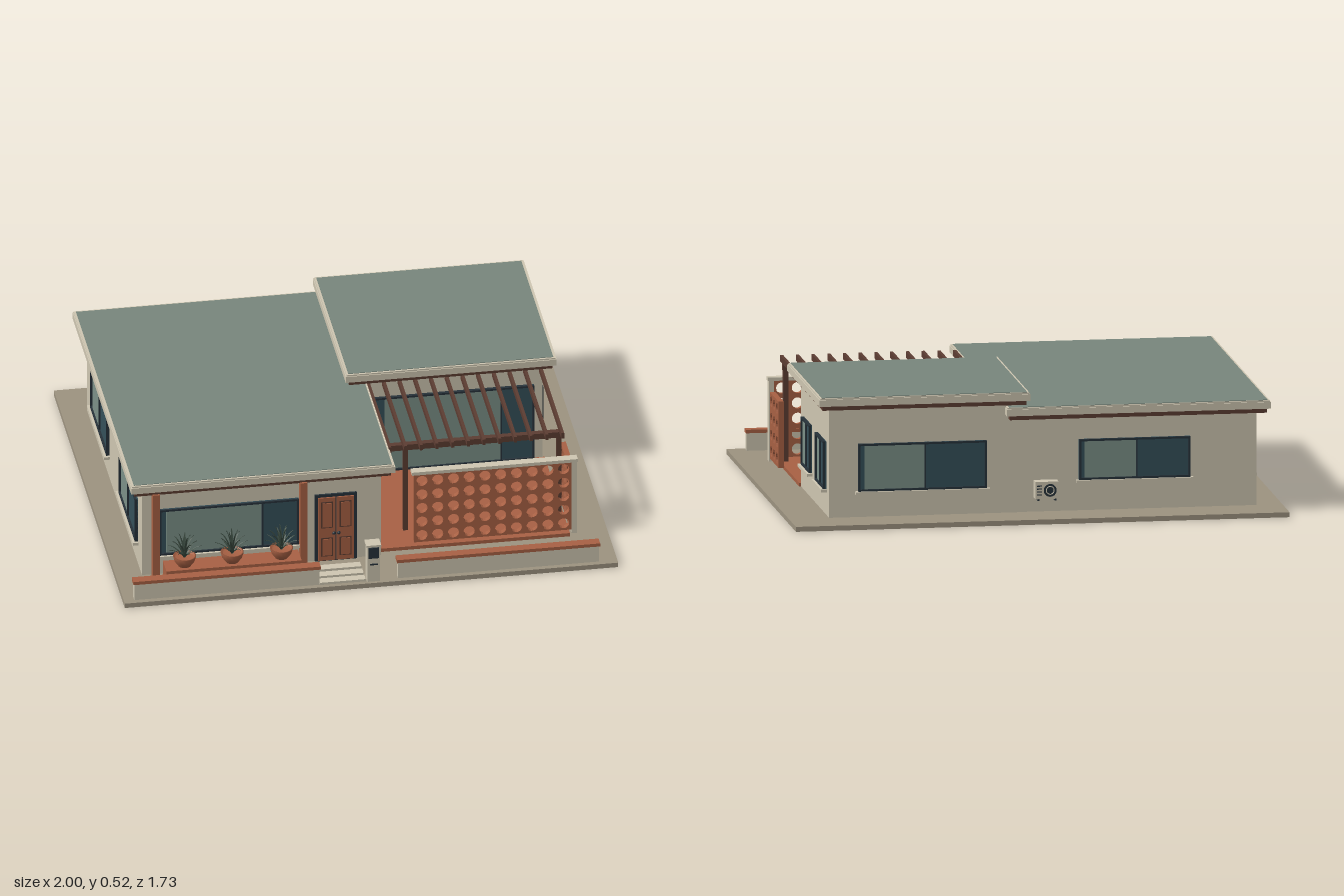
import * as THREE from 'three';

const mat = (name, color) => {
  const m = new THREE.MeshStandardMaterial({ color });
  m.name = name;
  return m;
};

export function createModel() {
  const root = new THREE.Group();
  root.name = 'bungalow';
  const M = {
    cream: mat('cream render', 0xcfc7b2),
    paving: mat('paving', 0x9d9380),
    clay: mat('terracotta', 0xa86144),
    wood: mat('dark timber', 0x5c3d32),
    roof: mat('roof green', 0x78867c),
    glass: mat('dark glass', 0x35505a),
    pale: mat('pale glass', 0x7c9188),
    frame: mat('dark frame', 0x27323a),
    leaf: mat('leaf green', 0x3c4d42),
  };
  M.leaf.side = THREE.DoubleSide;

  const add = (parent, name, geo, material) => {
    const mesh = new THREE.Mesh(geo, material);
    mesh.name = name;
    parent.add(mesh);
    return mesh;
  };
  // Box given by its minimum and maximum on each axis
  const box = (name, material, x0, x1, y0, y1, z0, z1, parent = root) => {
    const g = new THREE.BoxGeometry(x1 - x0, y1 - y0, z1 - z0);
    g.translate((x0 + x1) / 2, (y0 + y1) / 2, (z0 + z1) / 2);
    return add(parent, name, g, material);
  };
  const group = (name, x, y, z, ry = 0) => {
    const g = new THREE.Group();
    g.name = name;
    g.position.set(x, y, z);
    g.rotation.y = ry;
    root.add(g);
    return g;
  };

  // Ground and the two volumes
  box('groundSlab', M.paving, -1, 1, 0, 0.02, -0.87, 0.86);
  box('mainWalls', M.cream, -0.895, 0.075, 0.02, 0.405, -0.69, 0.645);
  box('wingWalls', M.cream, 0.075, 0.837, 0.02, 0.465, -0.695, 0);
  box('patioFloor', M.clay, 0.075, 0.845, 0.02, 0.035, 0, 0.62);

  // Flat roofs: timber soffit, cream fascia, green covering
  const flatRoof = (name, x0, x1, z0, z1, y) => {
    box(name + 'Soffit', M.wood, x0 + 0.015, x1 - 0.015, y - 0.053, y - 0.034, z0 + 0.012, z1 - 0.012);
    box(name + 'Fascia', M.cream, x0, x1, y - 0.035, y - 0.008, z0, z1);
    box(name + 'Rim', M.cream, x0 + 0.004, x1 - 0.004, y - 0.008, y - 0.002, z0 + 0.004, z1 - 0.004);
    box(name + 'Covering', M.roof, x0 + 0.012, x1 - 0.012, y - 0.004, y, z0 + 0.012, z1 - 0.012);
  };
  flatRoof('mainRoof', -0.945, 0.125, -0.745, 0.688, 0.455);
  flatRoof('wingRoof', 0.03, 0.885, -0.75, 0.053, 0.517);

  // Window facing +z of its group; pale pane runs between fractions a and b
  const makeWindow = (name, x, y0, y1, z, w, ry, a, b, sill = true) => {
    const g = group(name, x, 0, z, ry);
    const l = -w / 2, r = w / 2, t = 0.008;
    box('glass', M.glass, l, r, y0, y1, 0, 0.005, g);
    box('palePane', M.pale, l + w * a, l + w * b, y0 + t, y1 - t, 0.004, 0.007, g);
    box('frameLeft', M.frame, l, l + t, y0, y1, 0, 0.014, g);
    box('frameRight', M.frame, r - t, r, y0, y1, 0, 0.014, g);
    box('frameTop', M.frame, l, r, y1 - t, y1, 0, 0.014, g);
    box('frameBottom', M.frame, l, r, y0, y0 + t, 0, 0.014, g);
    box('mullion', M.frame, l + w * b - 0.003, l + w * b + 0.003, y0, y1, 0, 0.012, g);
    if (sill) box('sill', M.cream, l - 0.012, r + 0.012, y0 - 0.012, y0, 0, 0.024, g);
  };
  const H = Math.PI / 2;
  makeWindow('frontWindow', -0.543, 0.11, 0.318, 0.645, 0.565, 0, 0.05, 0.74);
  makeWindow('patioDoor', 0.468, 0.036, 0.375, 0, 0.665, 0, 0.09, 0.8, false);
  for (const z of [-0.172, -0.522]) makeWindow('wingSideWindow', 0.837, 0.125, 0.318, z, 0.206, H, 0.06, 0.5);
  for (const z of [-0.34, 0.355]) makeWindow('mainSideWindow', -0.895, 0.125, 0.318, z, 0.4, -H, 0.06, 0.5);
  makeWindow('wingBackWindow', 0.46, 0.125, 0.318, -0.695, 0.52, Math.PI, 0.05, 0.52);
  makeWindow('mainBackWindow', -0.4, 0.145, 0.31, -0.69, 0.45, Math.PI, 0.05, 0.52);

  // Double front door
  const door = group('frontDoor', -0.11, 0, 0.645);
  box('doorFrame', M.frame, -0.085, 0.085, 0.02, 0.325, 0, 0.008, door);
  for (const s of [-1, 1]) {
    const c = s * 0.0375;
    box('leaf', M.clay, c - 0.035, c + 0.035, 0.025, 0.313, 0, 0.014, door);
    for (const [y0, y1] of [[0.045, 0.13], [0.175, 0.295]]) {
      box('panelGroove', M.wood, c - 0.024, c + 0.024, y0, y1, 0.012, 0.016, door);
      box('panel', M.clay, c - 0.019, c + 0.019, y0 + 0.005, y1 - 0.005, 0.012, 0.019, door);
    }
    const knob = add(door, 'knob', new THREE.SphereGeometry(0.007, 10, 8), M.frame);
    knob.position.set(s * 0.01, 0.152, 0.02);
  }

  // Porch columns, planter ledge and path slabs
  for (const x of [-0.843, -0.245]) box('porchColumn', M.clay, x - 0.014, x + 0.014, 0.02, 0.405, 0.645, 0.685);
  box('planterLedge', M.clay, -0.81, -0.262, 0.02, 0.078, 0.645, 0.733);
  for (const z of [0.7, 0.753, 0.805]) box('pathSlab', M.cream, -0.205, -0.02, 0.02, 0.03, z, z + 0.036);

  // Bowls with spiky plants
  const bowl = new THREE.LatheGeometry(
    [[0, 0], [0.026, 0], [0.04, 0.02], [0.047, 0.044], [0.041, 0.044], [0.036, 0.036], [0, 0.036]]
      .map(([r, y]) => new THREE.Vector2(r, y)), 16);
  // Tapered blade that arches outward along +x
  const blade = new THREE.PlaneGeometry(1, 1, 5, 2);
  const p = blade.attributes.position;
  for (let i = 0; i < p.count; i++) {
    const t = p.getX(i) + 0.5, v = p.getY(i);
    const width = 0.013 * (1 - t) * (0.7 + t) + 0.0008;
    p.setXYZ(i, t, 1.25 * t - 0.55 * t * t - Math.abs(v) * -0.05, v * width);
  }
  blade.computeVertexNormals();
  for (const x of [-0.73, -0.537, -0.337]) {
    const pot = group('pottedPlant', x, 0.078, 0.692);
    add(pot, 'bowl', bowl, M.clay);
    for (let ring = 0; ring < 3; ring++) {
      const n = 9 - ring * 2;
      for (let k = 0; k < n; k++) {
        const b = add(pot, 'leafBlade', blade, M.leaf);
        b.position.y = 0.034;
        b.rotation.y = (k / n) * Math.PI * 2 + ring * 0.4 + x;
        b.scale.set([0.068, 0.05, 0.025][ring], [0.07, 0.115, 0.145][ring], 1);
      }
    }
  }

  // Low garden walls with coping
  for (const [x0, x1] of [[-0.962, -0.203], [0.107, 0.93]]) {
    box('gardenWall', M.cream, x0 + 0.004, x1 - 0.004, 0.02, 0.092, 0.808, 0.838);
    box('wallCoping', M.clay, x0, x1, 0.092, 0.106, 0.803, 0.843);
  }

  // Gate pillar with blank plaque
  box('gatePillar', M.cream, -0.015, 0.037, 0.02, 0.18, 0.803, 0.847);
  box('pillarCap', M.cream, -0.019, 0.041, 0.18, 0.188, 0.799, 0.851);
  box('plaque', M.frame, -0.01, 0.032, 0.128, 0.176, 0.847, 0.852);
  box('letterSlot', M.frame, -0.005, 0.027, 0.096, 0.102, 0.847, 0.85);

  // Pierced block screens
  const screen = (name, w, h, cols, rows, r) => {
    const s = new THREE.Shape([[0, 0], [w, 0], [w, h], [0, h]].map(([x, y]) => new THREE.Vector2(x, y)));
    for (let i = 0; i < cols; i++) for (let j = 0; j < rows; j++) {
      const hole = new THREE.Path();
      hole.absarc(((i + 0.5) * w) / cols, ((j + 0.5) * h) / rows, r, 0, Math.PI * 2, true);
      s.holes.push(hole);
    }
    return add(root, name, new THREE.ExtrudeGeometry(s, { depth: 0.022, bevelEnabled: false, curveSegments: 7 }), M.clay);
  };
  screen('frontScreen', 0.638, 0.312, 10, 5, 0.023).position.set(0.217, 0.035, 0.57);
  const side = screen('sideScreen', 0.215, 0.27, 3, 4, 0.022);
  side.rotation.y = H;
  side.position.set(0.85, 0.032, 0.567);
  box('screenCap', M.cream, 0.208, 0.88, 0.347, 0.361, 0.563, 0.599);
  box('screenPost', M.cream, 0.855, 0.876, 0.02, 0.35, 0.566, 0.597);

  // Pergola
  for (let i = 0; i < 12; i++) {
    const x = 0.127 + i * 0.0637;
    box('pergolaSlat', M.wood, x - 0.006, x + 0.006, 0.43, 0.455, 0, 0.545);
  }
  box('pergolaBeam', M.wood, 0.115, 0.835, 0.405, 0.43, 0.467, 0.492);
  for (const x of [0.2, 0.822]) box('pergolaPost', M.wood, x - 0.01, x + 0.01, 0.035, 0.41, 0.47, 0.49);

  // Air conditioner on the back wall
  const ac = group('airConditioner', -0.038, 0.115, -0.69, Math.PI);
  box('casing', M.cream, -0.047, 0.047, -0.035, 0.035, 0.008, 0.056, ac);
  for (const s of [-0.035, 0.035]) box('bracket', M.frame, s - 0.004, s + 0.004, -0.042, -0.035, 0, 0.054, ac);
  const fan = add(ac, 'fanGrille', new THREE.CylinderGeometry(0.026, 0.026, 0.004, 20), M.frame);
  fan.rotation.x = H;
  fan.position.set(0.012, 0, 0.057);
  const hub = add(ac, 'fanRing', new THREE.TorusGeometry(0.016, 0.002, 6, 18), M.cream);
  hub.position.set(0.012, 0, 0.059);
  for (let i = 0; i < 4; i++) box('vent', M.frame, -0.041, -0.022, -0.02 + i * 0.012, -0.016 + i * 0.012, 0.055, 0.058, ac);

  return root;
}
